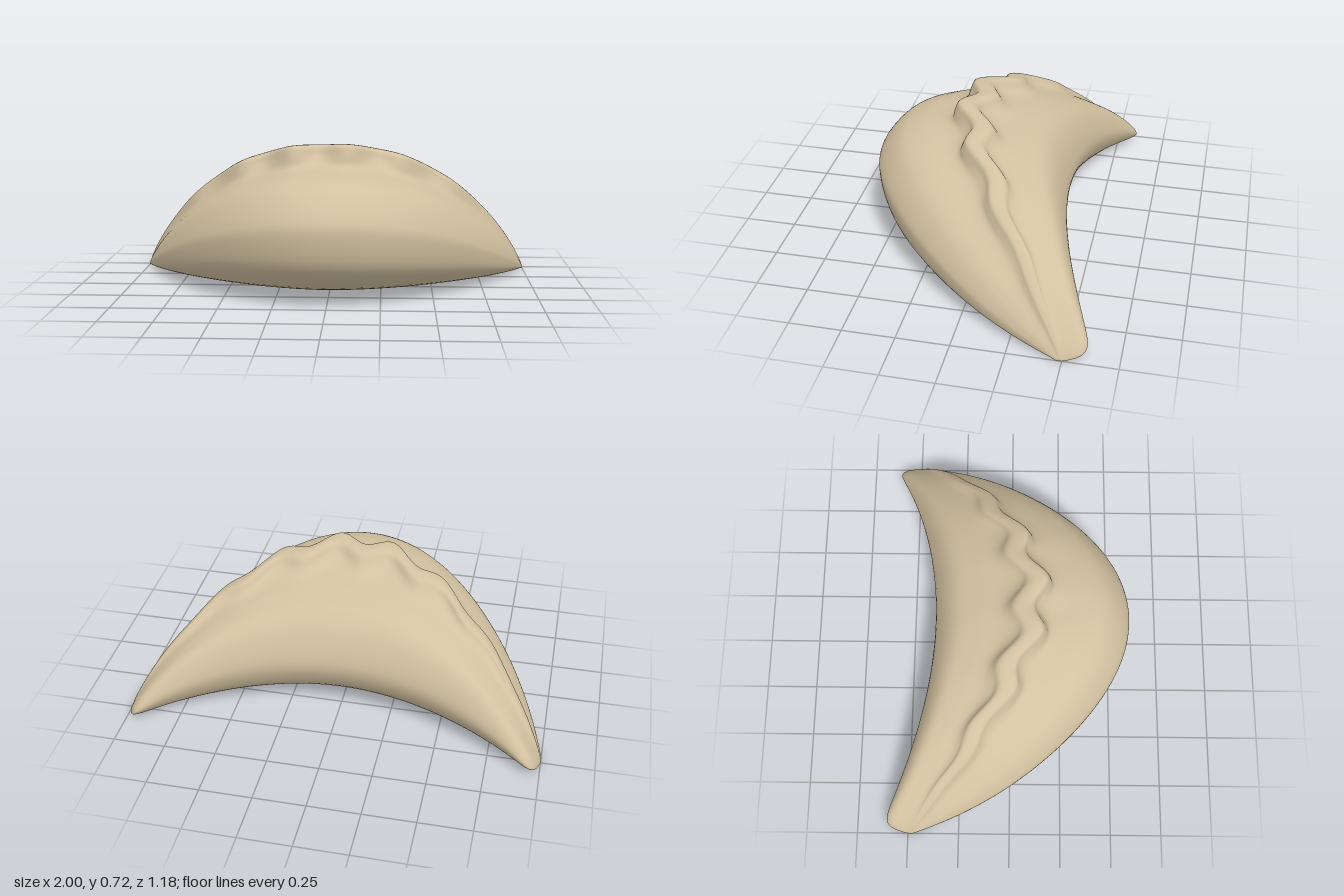
import * as THREE from 'three';

// Cross-section: [t, v]; t runs 1 (front) to -1 (back) around the seam, v runs 0 (base) to 1 (crest)
const SECTION = [
  [0.13, 0.93], [0.2, 0.86], [0.56, 0.81], [0.79, 0.74], [0.99, 0.55], [1, 0.45], [0.92, 0.25],
  [0.63, 0.09], [0.2, 0], [-0.4, 0.02], [-0.78, 0.12], [-0.97, 0.3], [-1, 0.42], [-0.9, 0.62],
  [-0.76, 0.74], [-0.53, 0.81], [-0.27, 0.87], [-0.17, 0.92], [-0.1, 0.98], [0, 1], [0.09, 0.99],
];

// Outlines along the length
const front = (x) => 0.58 - 0.9 * x ** 2 - 0.15 * x ** 10;
const back = (x) => -0.375 - 0.27 * x ** 2 + 0.14 * x ** 40;
const seam = (x) => 0.1 - 0.59 * Math.abs(x) ** 1.7;
const base = (x) => 0.028 * (1 - x * x);
const crest = (x) => 0.01 + 0.71 * Math.max(0, 1 - Math.abs(x) ** 2.2) ** 0.85;

// Pleats push the seam back and forth, fading toward the tips
const pleat = (x) => Math.cos((2 * Math.PI * (x - 0.09)) / 0.27) * (1 - x * x) ** 1.5;

function sectionPoint(x, t, v) {
  const r = seam(x);
  const weight = THREE.MathUtils.smoothstep(v, 0.78, 0.95);
  const z = r + (t > 0 ? t * (front(x) - r) : -t * (back(x) - r)) + 0.036 * weight * pleat(x);
  const y = base(x) + v * (crest(x) - base(x)) + 0.006 * weight * pleat(x);
  return [x, y, z];
}

function wrapperGeometry(rings = 140, sides = 96) {
  const curve = new THREE.CatmullRomCurve3(
    SECTION.map(([t, v]) => new THREE.Vector3(t, v, 0)), true, 'centripetal');
  const profile = curve.getPoints(sides).slice(0, sides);
  const positions = [];
  const index = [];

  for (let i = 0; i <= rings; i++) {
    const x = Math.sin((i / rings - 0.5) * Math.PI);
    for (const p of profile) positions.push(...sectionPoint(x, p.x, p.y));
  }
  for (let i = 0; i < rings; i++) {
    for (let j = 0; j < sides; j++) {
      const a = i * sides + j;
      const b = i * sides + ((j + 1) % sides);
      index.push(a, b, a + sides, b, b + sides, a + sides);
    }
  }
  // Close both tips
  for (const end of [-1, 1]) {
    const centre = positions.length / 3;
    positions.push(...sectionPoint(end, 0, 0.5));
    const start = end < 0 ? 0 : rings * sides;
    for (let j = 0; j < sides; j++) {
      const a = start + j;
      const b = start + ((j + 1) % sides);
      if (end < 0) index.push(centre, b, a);
      else index.push(centre, a, b);
    }
  }

  const geometry = new THREE.BufferGeometry();
  geometry.setAttribute('position', new THREE.Float32BufferAttribute(positions, 3));
  geometry.setIndex(index);
  geometry.computeVertexNormals();
  return geometry;
}

export function createModel() {
  const model = new THREE.Group();
  model.name = 'dumpling';
  const dough = new THREE.MeshStandardMaterial({ color: 0xd2c1a0 });
  const wrapper = new THREE.Mesh(wrapperGeometry(), dough);
  wrapper.name = 'pleatedWrapper';
  model.add(wrapper);
  return model;
}
